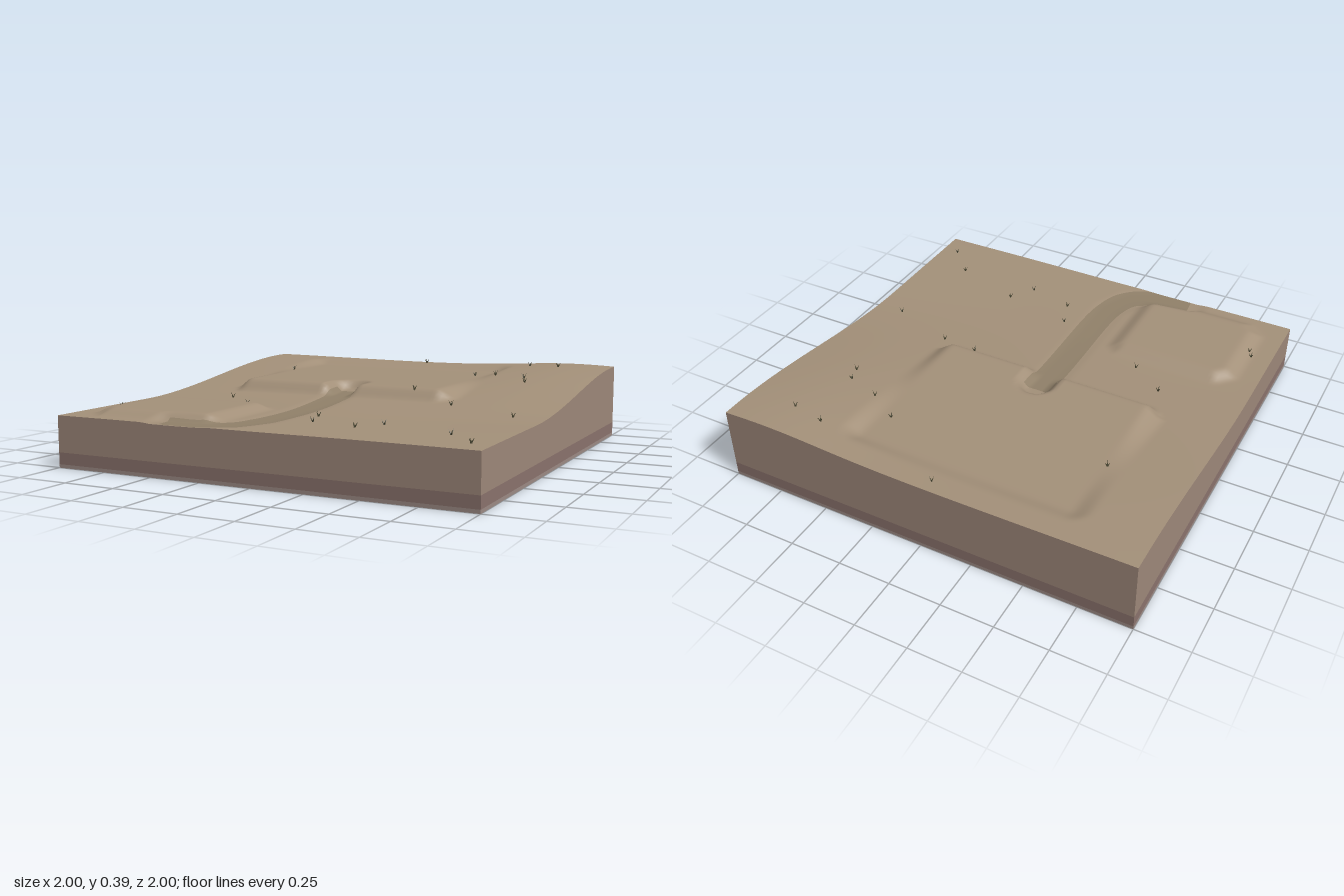
import * as THREE from 'three';

const { smoothstep, lerp, clamp } = THREE.MathUtils;
const mat = (color, extra = {}) => new THREE.MeshStandardMaterial({ color, roughness: 1, ...extra });

// Distance outside a rounded-off rectangle
function outside(x, z, x0, x1, z0, z1) {
  const dx = Math.max(x0 - x, x - x1, 0), dz = Math.max(z0 - z, z - z1, 0);
  return Math.hypot(dx, dz);
}

// Natural hillside rising to the back
function hill(x, z) {
  const amp = 0.104 + 0.01 * smoothstep(-x, 0, 1) + 0.029 * Math.exp(-(((x - 0.78) / 0.42) ** 2));
  const start = 0.35 + 0.15 * Math.cos(x * Math.PI / 2);
  const t = clamp((start - z) / (start + 0.95), 0, 1);
  return 0.237 + amp * t * t * (3 - 2 * t) + 0.001 * Math.sin(5 * x + 2) * Math.sin(4 * z);
}

// Centre line of the track: up the slope, bending left near the front
const track = [[-0.1, -0.1], [-0.1, 0.74], [-0.16, 0.88], [-0.28, 0.94], [-0.46, 0.96]];
function trackDistance(x, z) {
  let best = 9;
  for (let i = 0; i < track.length - 1; i++) {
    const [ax, az] = track[i], [bx, bz] = track[i + 1];
    const ux = bx - ax, uz = bz - az;
    const t = clamp(((x - ax) * ux + (z - az) * uz) / (ux * ux + uz * uz), 0, 1);
    best = Math.min(best, Math.hypot(x - ax - t * ux, z - az - t * uz));
  }
  return best;
}

function height(x, z) {
  let h = hill(x, z);
  // Upper terrace, with steep front and gentler sides
  const side = outside(x, z, -0.62, 0.4, -0.8, -0.03);
  h = lerp(0.32, h, smoothstep(side, 0, z > -0.03 ? 0.08 : 0.1));
  // Lower terrace with cut corners
  const skew = Math.max(0, Math.abs(x + 0.55) + Math.abs(z - 0.66) - 0.44) * 0.7;
  const d = Math.max(outside(x, z, -0.82, -0.31, 0.45, 0.87), skew);
  h = lerp(0.27, h, smoothstep(d, 0, 0.09));
  // Sunken track ramping into the upper terrace
  const level = Math.min(hill(x, z) - 0.005, 0.292);
  return lerp(level, h, smoothstep(trackDistance(x, z), 0.045, 0.1));
}

// Ground surface
function makeGround() {
  const geo = new THREE.PlaneGeometry(2, 2, 120, 120).rotateX(-Math.PI / 2);
  const p = geo.attributes.position;
  for (let i = 0; i < p.count; i++) p.setY(i, height(p.getX(i), p.getZ(i)));
  geo.computeVertexNormals();
  return new THREE.Mesh(geo, mat(0xa39079));
}

// Vertical band around the block between two levels
function makeBand(low, high, color) {
  const n = 80, pos = [], idx = [];
  const corners = [[-1, 1], [1, 1], [1, -1], [-1, -1]];
  corners.forEach(([ax, az], s) => {
    const [bx, bz] = corners[(s + 1) % 4];
    for (let i = 0; i <= n; i++) {
      const x = lerp(ax, bx, i / n), z = lerp(az, bz, i / n), k = pos.length / 3;
      pos.push(x, low, z, x, high(x, z), z);
      if (i < n) idx.push(k, k + 2, k + 1, k + 1, k + 2, k + 3);
    }
  });
  const geo = new THREE.BufferGeometry();
  geo.setAttribute('position', new THREE.Float32BufferAttribute(pos, 3));
  geo.setIndex(idx);
  geo.computeVertexNormals();
  return new THREE.Mesh(geo, mat(color));
}

// Thin worn surface lying on the track
function makeTrack() {
  const path = new THREE.CatmullRomCurve3(track.map(([x, z]) => new THREE.Vector3(x, 0, z)), false, 'centripetal');
  const n = 90, m = 6, pos = [], idx = [];
  for (let i = 0; i <= n; i++) {
    const c = path.getPointAt(i / n), t = path.getTangentAt(i / n);
    for (let j = 0; j <= m; j++) {
      const o = (j / m - 0.5) * 0.14;
      const x = c.x + t.z * o, z = Math.min(c.z - t.x * o, 0.999);
      pos.push(x, height(x, z) + 0.0015, z);
      const k = i * (m + 1) + j;
      if (i < n && j < m) idx.push(k, k + m + 1, k + 1, k + 1, k + m + 1, k + m + 2);
    }
  }
  const geo = new THREE.BufferGeometry();
  geo.setAttribute('position', new THREE.Float32BufferAttribute(pos, 3));
  geo.setIndex(idx);
  geo.computeVertexNormals();
  return new THREE.Mesh(geo, mat(0x908069, { side: THREE.DoubleSide }));
}

// Small tuft of three leaning blades
const bladeGeo = new THREE.ConeGeometry(0.004, 0.03, 4).translate(0, 0.013, 0);
const bladeMat = mat(0x4c4a35, { flatShading: true });
function makeTuft(x, z, i) {
  const tuft = new THREE.Group();
  tuft.name = 'grassTuft';
  for (let b = 0; b < 3; b++) {
    const blade = new THREE.Mesh(bladeGeo, bladeMat);
    blade.name = 'grassBlade';
    blade.rotation.set(0, b * Math.PI * 2 / 3 + i, 0.5, 'YXZ');
    tuft.add(blade);
  }
  tuft.position.set(x, height(x, z), z);
  return tuft;
}

const tufts = [
  [-0.64, -0.49], [-0.04, -0.94], [0.59, -0.85], [0.75, -0.82], [0.36, -0.64], [0.5, -0.56],
  [0.67, -0.5], [0.7, -0.42], [0.29, -0.01], [0.51, 0.07], [-0.6, 0.19], [-0.43, 0.32],
  [-0.9, 0.67], [-0.88, 0.7], [0.06, 0.52], [0.11, 0.66], [0.34, 0.72], [0.42, 0.6],
  [0.85, 0.2], [0.77, 0.72], [0.91, 0.87],
];

export function createModel() {
  const model = new THREE.Group();
  model.name = 'terrainBlock';
  const add = (name, mesh) => { mesh.name = name; model.add(mesh); };
  add('ground', makeGround());
  add('track', makeTrack());

  // Soil layers and underside
  add('upperSoil', makeBand(0.07, height, 0x9d8779));
  add('lowerSoil', makeBand(0.016, () => 0.07, 0x8a726c));
  add('baseLayer', makeBand(0, () => 0.016, 0x9b8a84));
  add('underside', new THREE.Mesh(new THREE.PlaneGeometry(2, 2).rotateX(Math.PI / 2), mat(0x6b645a)));

  const grass = new THREE.Group();
  tufts.forEach(([x, z], i) => grass.add(makeTuft(x, z, i)));
  add('grass', grass);
  return model;
}
